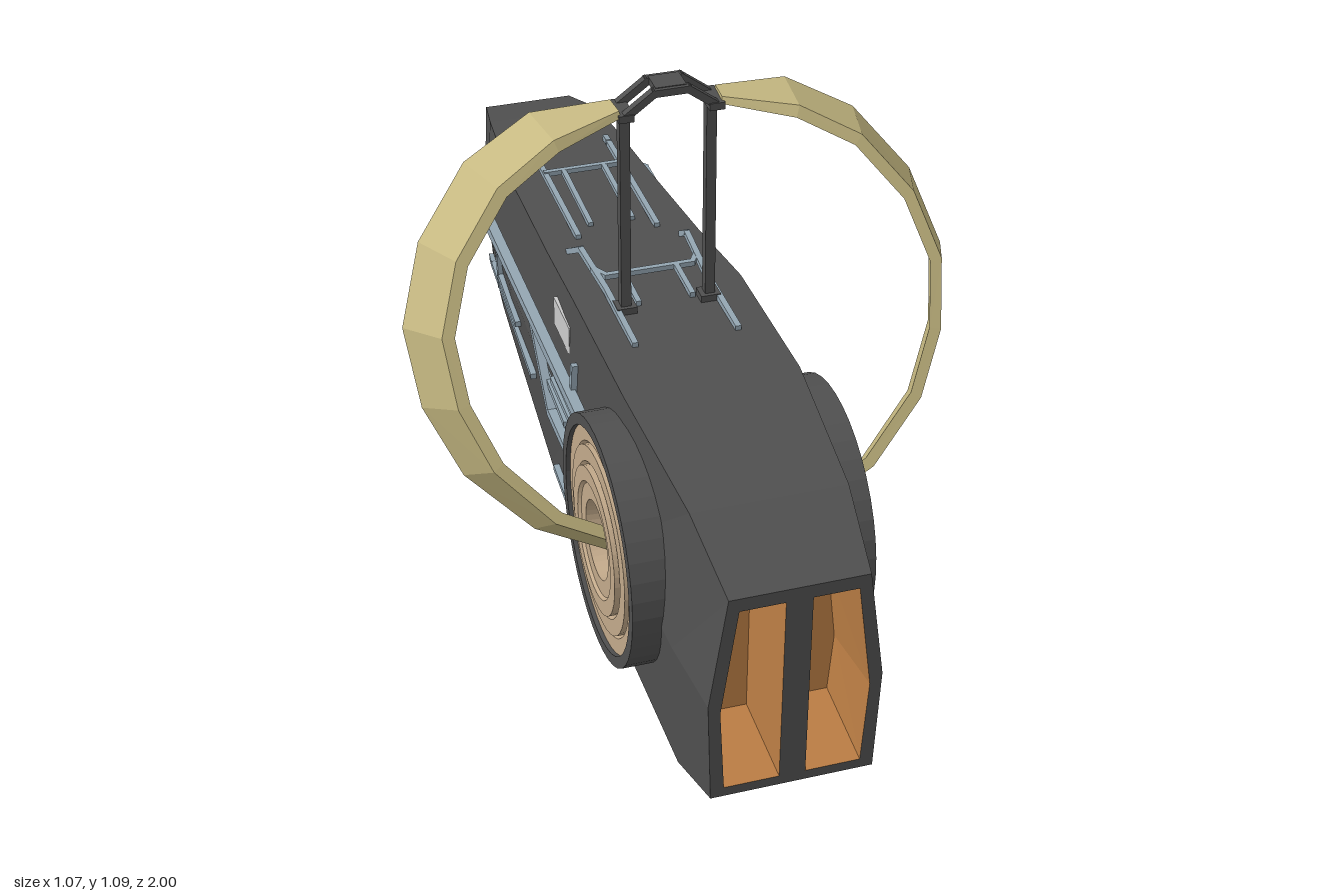
import * as THREE from 'three';

const mat = (color, side = THREE.FrontSide) =>
  new THREE.MeshStandardMaterial({ color, flatShading: true, side });
const DARK = mat(0x505050), PIPE = mat(0x94a6b2), PALE = mat(0xc4c4c4), CREAM = mat(0xf2ece2);
const TAN = mat(0xc2a98a), BAND = mat(0xc6b982, THREE.DoubleSide), ORANGE = mat(0xbd7f45, THREE.DoubleSide);
const GRILLE = mat(0x7f9a9c);

function add(parent, name, geometry, material) {
  const m = new THREE.Mesh(geometry, material);
  m.name = name;
  parent.add(m);
  return m;
}

// Skin a list of closed rings (each ring counterclockwise seen from its start)
function loft(rings) {
  const n = rings[0].length, idx = [];
  for (let i = 0; i < rings.length - 1; i++)
    for (let j = 0; j < n; j++) {
      const a = i * n + j, b = i * n + (j + 1) % n;
      idx.push(a, a + n, b + n, a, b + n, b);
    }
  const g = new THREE.BufferGeometry();
  g.setAttribute('position', new THREE.Float32BufferAttribute(rings.flat(2), 3));
  g.setIndex(idx);
  const flat = g.toNonIndexed();
  flat.computeVertexNormals();
  return flat;
}

// Square bars following a list of points
function bars(parent, name, points, size, material) {
  const g = new THREE.Group();
  g.name = name;
  for (let i = 0; i < points.length - 1; i++) {
    const a = new THREE.Vector3(...points[i]), b = new THREE.Vector3(...points[i + 1]);
    const m = add(g, name + 'Segment', new THREE.BoxGeometry(size, size, a.distanceTo(b) + size * 0.6), material);
    m.position.copy(a).lerp(b, 0.5);
    m.lookAt(b);
  }
  parent.add(g);
}

// Hull stations: z, bottom y, top y, half widths at top, middle and bottom
const MID = 0.29;
const HULL = [
  [1, 0.07, 0.525, 0.13, 0.163, 0.155], [0.83, 0.005, 0.59, 0.148, 0.178, 0.163],
  [0.5, 0.02, 0.617, 0.172, 0.187, 0.172], [0.15, 0.015, 0.605, 0.172, 0.187, 0.172],
  [-0.1, 0.03, 0.567, 0.162, 0.18, 0.162], [-0.42, 0.075, 0.53, 0.15, 0.17, 0.15],
  [-0.64, 0.08, 0.52, 0.135, 0.157, 0.135], [-0.76, 0.095, 0.51, 0.125, 0.14, 0.125],
  [-0.91, 0.145, 0.465, 0.1, 0.108, 0.1], [-1, 0.298, 0.302, 0.074, 0.075, 0.074],
];
const hullRing = ([z, yb, yt, wt, wm, wb]) => {
  const ym = z === -1 ? 0.3 : MID;
  return [[wt, yt, z], [-wt, yt, z], [-wm, ym, z], [-wb, yb, z], [wb, yb, z], [wm, ym, z]];
};
function hullAt(z) {
  const i = Math.max(0, Math.min(HULL.length - 2, HULL.findIndex(s => s[0] <= z) - 1));
  const t = (z - HULL[i][0]) / (HULL[i + 1][0] - HULL[i][0]);
  return HULL[i].map((v, k) => v + (HULL[i + 1][k] - v) * t);
}
function sideX(z, y) {
  const [, yb, yt, wt, wm, wb] = hullAt(z);
  return y > MID ? wm + (wt - wm) * (y - MID) / (yt - MID) : wm + (wb - wm) * (MID - y) / (MID - yb);
}

function buildHull(root) {
  add(root, 'hull', loft(HULL.map(hullRing)), DARK);
  // Front plate with two tapered bays
  const toPath = (C, pts) => new C(pts.map(p => new THREE.Vector2(p[0], p[1])));
  const plate = toPath(THREE.Shape, hullRing(HULL[0]));
  for (const s of [1, -1]) {
    const mouth = [[0.025, 0.09], [0.13, 0.09], [0.14, 0.27], [0.11, 0.497], [0.025, 0.497]].map(p => [p[0] * s, p[1]]);
    const back = [[0.042, 0.145], [0.115, 0.145], [0.124, 0.27], [0.105, 0.44], [0.042, 0.44]].map(p => [p[0] * s, p[1]]);
    plate.holes.push(toPath(THREE.Path, mouth));
    add(root, 'bayWalls', loft([mouth.map(p => [...p, 1]), back.map(p => [...p, 0.86])]), ORANGE);
    add(root, 'bayBack', new THREE.ShapeGeometry(toPath(THREE.Shape, back)), ORANGE).position.z = 0.86;
  }
  add(root, 'frontPlate', new THREE.ShapeGeometry(plate), DARK).position.z = 1;
  // Rear grille on the upper slope
  const grille = new THREE.Group();
  grille.name = 'rearGrille';
  for (let i = 0; i < 9; i++)
    add(grille, 'grilleBar', new THREE.BoxGeometry(0.005, 0.12, 0.008), GRILLE).position.x = (i - 4) * 0.0155;
  for (let i = 0; i < 8; i++)
    add(grille, 'grilleBar', new THREE.BoxGeometry(0.13, 0.005, 0.008), GRILLE).position.y = (i - 3.5) * 0.0165;
  grille.position.set(0, 0.384, -0.956);
  grille.rotation.x = Math.atan2(0.09, 0.163);
  root.add(grille);
}

// Round side hub, hoop half and side pipes for the +x side
function buildSide() {
  const side = new THREE.Group();
  const hub = new THREE.Group();
  hub.name = 'hub';
  const lathe = pts => new THREE.LatheGeometry(pts.map(p => new THREE.Vector2(...p)), 40);
  add(hub, 'hubDrum', lathe([[0.245, 0.13], [0.245, 0.235], [0.222, 0.235], [0.222, 0.218]]), DARK);
  add(hub, 'hubRings', lathe([[0.222, 0.218], [0.222, 0.226], [0.19, 0.226], [0.184, 0.22], [0.184, 0.232],
    [0.152, 0.232], [0.145, 0.226], [0.145, 0.24], [0.115, 0.24], [0.11, 0.234], [0.078, 0.234], [0.075, 0.19]]), TAN);
  const cap = add(hub, 'hubCentre', new THREE.CircleGeometry(0.077, 40), CREAM);
  cap.rotation.x = -Math.PI / 2;
  cap.position.y = 0.192;
  hub.rotation.z = -Math.PI / 2;
  hub.position.set(0, 0.318, 0.53);
  side.add(hub);

  // Tilted, flared hoop: x, y, half width
  const path = [[0.19, 0.3, 0.042], [0.32, 0.36, 0.05], [0.43, 0.47, 0.06], [0.485, 0.59, 0.064], [0.5, 0.72, 0.066],
    [0.455, 0.85, 0.066], [0.36, 0.965, 0.066], [0.24, 1.03, 0.06], [0.1, 1.052, 0.024]];
  const rings = path.map(([x, y, h], i) => {
    const p = path[Math.max(i - 1, 0)], q = path[Math.min(i + 1, path.length - 1)];
    const l = Math.hypot(q[0] - p[0], q[1] - p[1]);
    const ox = (q[1] - p[1]) / l, oy = -(q[0] - p[0]) / l;
    const z = 0.525 - (y - 0.3) * 0.43, t = i === path.length - 1 ? 0.007 : 0.012;
    return [[1, t], [-1, t], [-1, -t], [1, -t]].map(([w, d]) => {
      const out = d - w * h * 0.38;
      return [x + ox * out, y + oy * out * 0.92 + w * h * 0.39, z - oy * out * 0.39 + w * h * 0.92];
    });
  });
  add(side, 'hoop', loft(rings), BAND);
  for (const r of [rings[0], rings[rings.length - 1]])
    add(side, 'hoopEnd', loft([r, r.map(() => r[0].map((_, k) => (r[0][k] + r[2][k]) / 2))]), BAND);

  // Thick pipes standing off the side
  const off = 0.195;
  bars(side, 'mainPipe', [[off, 0.418, 0.32], [off, 0.415, -0.61], [0.15, 0.415, -0.66]], 0.022, PIPE);
  bars(side, 'branchPipe', [[off, 0.268, 0.32], [off, 0.268, 0.04], [off, 0.41, -0.1]], 0.018, PIPE);
  // Thin pipes hugging the side: z, y
  [[[0.32, 0.345], [0.03, 0.34]], [[0.3, 0.37], [0.02, 0.37]], [[0.15, 0.315], [-0.1, 0.315]],
    [[0.19, 0.42], [0.19, 0.48]], [[0.155, 0.265], [0.155, 0.19]],
    [[0.42, 0.145], [0.2, 0.145]], [[0.21, 0.21], [0.2, 0.145], [0.155, 0.09], [0, 0.09]],
    [[-0.19, 0.2], [-0.65, 0.2], [-0.7, 0.187]], [[-0.33, 0.245], [-0.53, 0.245]],
    [[-0.53, 0.325], [-0.53, 0.245], [-0.56, 0.2]],
  ].forEach(p => bars(side, 'sidePipe', p.map(([z, y]) => [sideX(z, y) + 0.006, y, z]), 0.013, PIPE));

  // Small side window
  const win = add(side, 'sideWindow', new THREE.BoxGeometry(0.012, 0.065, 0.12), PALE);
  win.position.set(sideX(0.07, 0.497) - 0.002, 0.497, 0.07);

  // Hoop support post with foot
  bars(side, 'supportPost', [[0.085, 0.6, 0.21], [0.085, 1.045, 0.2]], 0.02, DARK);
  add(side, 'postFoot', new THREE.BoxGeometry(0.04, 0.02, 0.035), DARK).position.set(0.085, 0.612, 0.21);
  add(side, 'postHead', new THREE.BoxGeometry(0.03, 0.015, 0.07), DARK).position.set(0.088, 1.045, 0.2);
  for (const z of [0.175, 0.225])
    bars(side, 'topBracket', [[0.09, 1.045, z], [0.033, 1.088, z], [0, 1.088, z]], 0.015, DARK);

  // Raised pipes on top, and one set repeated underneath
  const above = z => hullAt(z)[2] + 0.004, below = z => hullAt(z)[1] - 0.004;
  const rearRun = (f, s) => {
    const y = z => f(z) + s * 0.03;
    bars(side, 'deckPipe', [[0.1, f(-0.59), -0.59], [0.085, y(-0.51), -0.51], [0.085, f(-0.14), -0.14]], 0.012, PIPE);
    bars(side, 'deckPipe', [[0, y(-0.41), -0.41], [0.085, y(-0.41), -0.41]], 0.011, PIPE);
    bars(side, 'deckPipe', [[0.045, y(-0.41), -0.41], [0.045, f(-0.19), -0.19]], 0.011, PIPE);
  };
  rearRun(above, 1);
  rearRun(below, -1);
  bars(side, 'deckPipe', [[0.12, above(-0.08), -0.08], [0.112, 0.613, -0.02], [0.103, 0.613, 0.14], [0.103, above(0.34), 0.34]], 0.012, PIPE);
  bars(side, 'deckPipe', [[0, 0.613, 0.09], [0.09, 0.613, 0.09], [0.108, 0.613, 0.06]], 0.011, PIPE);
  bars(side, 'deckPipe', [[0.055, 0.613, 0.09], [0.055, 0.613, 0.2]], 0.011, PIPE);
  return side;
}

export function createModel() {
  const root = new THREE.Group();
  root.name = 'model';
  buildHull(root);
  const left = buildSide(), right = buildSide();
  left.name = 'leftSide';
  right.name = 'rightSide';
  right.scale.x = -1;
  root.add(left, right);
  // Cross piece tying the two top bars together
  add(root, 'bracketTie', new THREE.BoxGeometry(0.06, 0.014, 0.05), DARK).position.set(0, 1.09, 0.2);
  return root;
}
